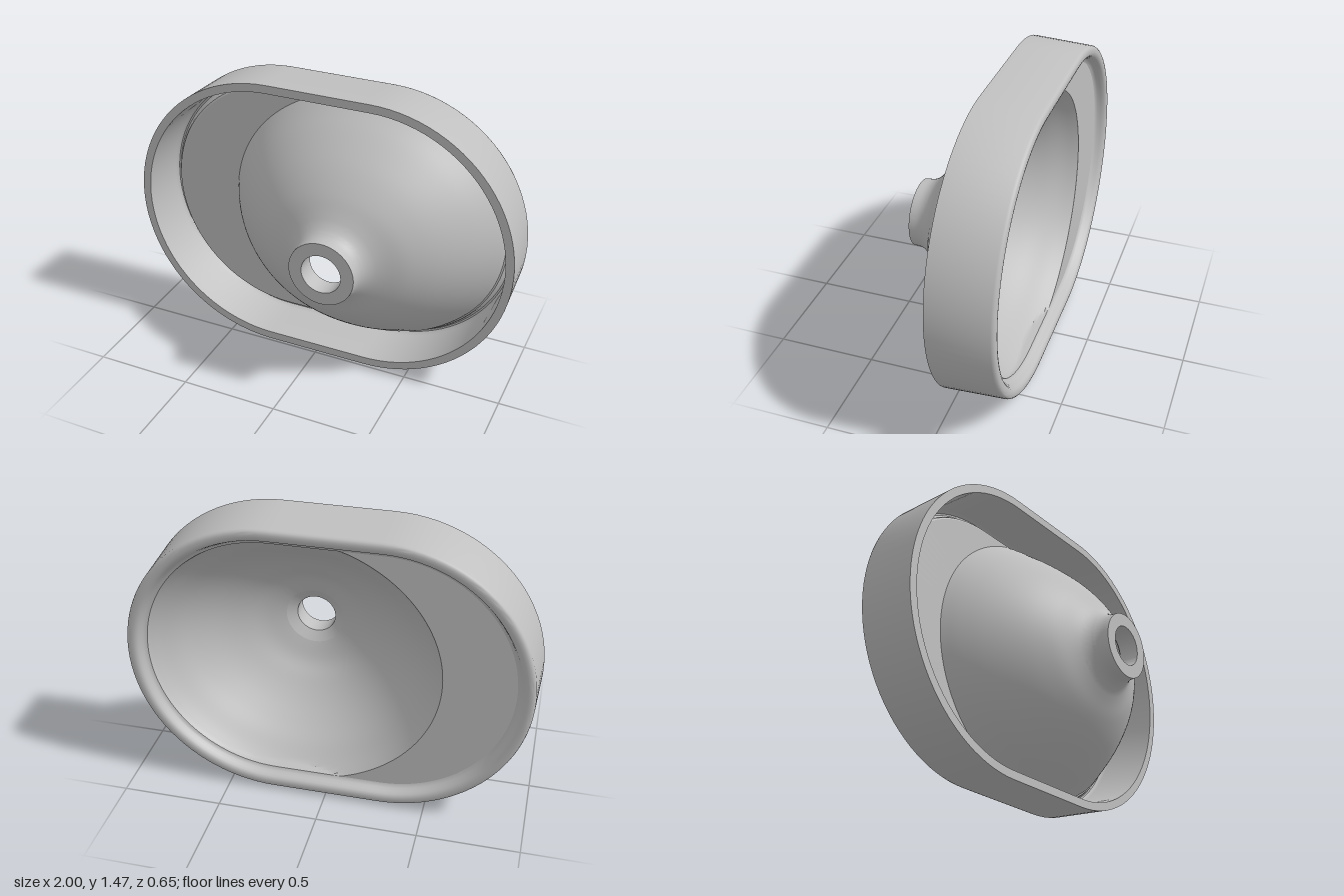
import * as THREE from 'three';
import { toCreasedNormals } from 'three/addons/utils/BufferGeometryUtils.js';

const HALF = 0.265, RAD = 0.735, CY = 0.735;   // stadium outline
const DRAIN_X = 0.175;                         // bowl axis
const LIP = 0.1;                               // inset of the rim's inner edge

// Stadium outline inset by o, counter-clockwise seen from +z
function stadium(o) {
  const pts = [], r = RAD - o, arc = 48, line = 16;
  for (const s of [1, -1]) {
    for (let i = 0; i < arc; i++) {
      const a = -Math.PI / 2 + (Math.PI * i) / arc;
      pts.push([s * (HALF + r * Math.cos(a)), s * r * Math.sin(a)]);
    }
    for (let i = 0; i < line; i++) pts.push([s * HALF * (1 - (2 * i) / line), s * r]);
  }
  return pts;
}

const rimRow = ([o, z]) => stadium(o).map(([x, y]) => [x, CY + y, z]);

// Elliptical ring around the drain axis, held inside the rim's inner edge
function bowlRow([z, rx, ry]) {
  return stadium(LIP).map(([x, y]) => {
    const dx = x - DRAIN_X;
    const s = Math.min(1, 1 / Math.hypot(dx / rx, y / ry));
    return [DRAIN_X + dx * s, CY + y * s, z];
  });
}

// Smooth bowl profile from a few stations of [z, rx, ry]
function smooth(stations, n) {
  const curve = new THREE.CatmullRomCurve3(stations.map(p => new THREE.Vector3(...p)));
  return curve.getPoints(n).map(p => p.toArray());
}

// Closed rings joined in order
function loft(rows, crease = 0.5) {
  const n = rows[0].length, idx = [];
  for (let r = 0; r < rows.length - 1; r++) {
    for (let i = 0; i < n; i++) {
      const a = r * n + i, b = r * n + ((i + 1) % n);
      idx.push(a, b, b + n, a, b + n, a + n);
    }
  }
  const g = new THREE.BufferGeometry();
  g.setAttribute('position', new THREE.Float32BufferAttribute(rows.flat(2), 3));
  g.setIndex(idx);
  return toCreasedNormals(g, crease);
}

export function createModel() {
  const group = new THREE.Group();
  const ceramic = new THREE.MeshStandardMaterial({ color: 0xbfbfbf });
  ceramic.name = 'grey ceramic';
  const add = (name, rows, crease) => {
    const mesh = new THREE.Mesh(loft(rows, crease), ceramic);
    mesh.name = name;
    group.add(mesh);
  };

  // Rim: inner lip, rounded top, tapered skirt, foot edge, hollow underside
  const deckTop = -0.27, deckUnder = -0.24;
  add('rim', [
    [LIP, deckTop], [0.092, -0.273], [0.083, -0.283], [0.076, -0.3], [0.069, -0.314], [0.06, -0.322], [0.048, -0.325],
    [0.034, -0.325], [0.025, -0.323], [0.017, -0.317], [0.013, -0.307],
    [0, -0.015], [0.042, -0.015], [0.05, -0.255], [0.053, -0.27], [0.06, -0.279],
    [0.069, -0.28], [0.078, -0.272], [0.084, -0.256], [0.091, -0.244], [LIP, deckUnder],
  ].map(rimRow), 0.6);

  // Bowl shells
  const outer = smooth([
    [deckUnder, 0.73, 0.674], [-0.17, 0.69, 0.62], [-0.09, 0.633, 0.562], [-0.015, 0.567, 0.5],
    [0.05, 0.498, 0.44], [0.1, 0.434, 0.385], [0.15, 0.355, 0.32], [0.195, 0.255, 0.248],
    [0.22, 0.213, 0.212], [0.25, 0.184, 0.184], [0.28, 0.17, 0.17], [0.325, 0.165, 0.165],
  ], 44);
  const inner = smooth([
    [0.195, 0.15, 0.15], [0.155, 0.26, 0.25], [0.105, 0.355, 0.32], [0.055, 0.434, 0.385],
    [0.005, 0.498, 0.44], [-0.06, 0.567, 0.5], [-0.135, 0.633, 0.562], [-0.205, 0.69, 0.625],
    [deckTop, 0.73, 0.674],
  ], 36);
  add('bowlOutside', outer.map(bowlRow));
  add('bowlInside', inner.map(bowlRow));

  // Flat ledge beside the bowl, both faces
  add('ledgeUnderside', [rimRow([LIP, deckUnder]), bowlRow(outer[0])]);
  add('ledgeTop', [bowlRow(inner[inner.length - 1]), rimRow([LIP, deckTop])]);

  // Drain: neck end, bore and countersink
  add('drain', [[0.325, 0.165, 0.165], [0.325, 0.1, 0.1], [0.225, 0.1, 0.1], [0.195, 0.15, 0.15]].map(bowlRow));

  return group;
}
